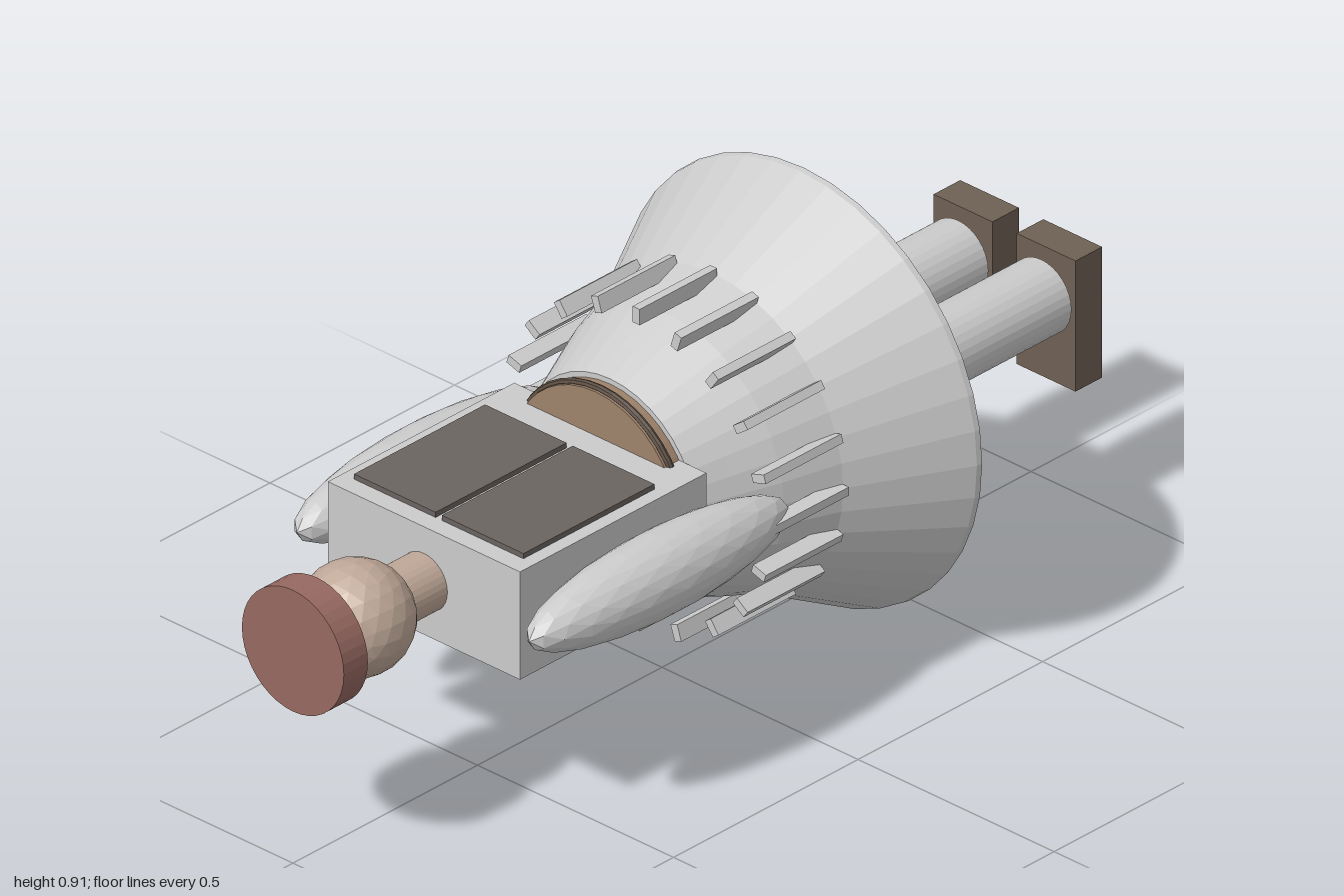
import * as THREE from 'three';

const CY = 0.457; // height of the long axis

const material = (color, extra = {}) =>
  Object.assign(new THREE.MeshStandardMaterial({ color, flatShading: true }), extra);

export function createModel() {
  const model = new THREE.Group();
  const grey = material(0xcccccc);
  const skin = material(0xbfa898);
  const red = material(0x976962);
  const brown = material(0x9e826b);
  const darkBrown = material(0x5a4c40);
  const shoeBrown = material(0x6e6054);
  const panelGrey = material(0x6a6460);

  const add = (name, geometry, mat, x, y, z, parent = model) => {
    const mesh = new THREE.Mesh(geometry, mat);
    mesh.name = name;
    mesh.position.set(x, y, z);
    parent.add(mesh);
    return mesh;
  };
  // Box from its extents along each axis
  const box = (name, mat, [x0, x1], [y0, y1], [z0, z1]) =>
    add(name, new THREE.BoxGeometry(x1 - x0, y1 - y0, z1 - z0), mat,
      (x0 + x1) / 2, (y0 + y1) / 2, (z0 + z1) / 2);
  // Cylinder lying along z
  const rod = (name, mat, r, z0, z1, x = 0, sides = 32) =>
    add(name, new THREE.CylinderGeometry(r, r, z1 - z0, sides).rotateX(Math.PI / 2), mat,
      x, CY, (z0 + z1) / 2);

  // Head, hat and neck
  rod('hat', red, 0.13, 0.935, 1.0, 0, 40);
  add('head', new THREE.IcosahedronGeometry(0.115, 3), skin, 0, CY, 0.83);
  rod('neck', skin, 0.06, 0.63, 0.74);

  // Torso with paired panels above and below
  box('torso', grey, [-0.245, 0.245], [0.343, 0.574], [0.14, 0.645]);
  for (const s of [-1, 1]) {
    const span = [s * 0.008, s * 0.216].sort((a, b) => a - b);
    box('backPanel', panelGrey, span, [0.572, 0.585], [0.25, 0.605]);
    box('chestPanel', panelGrey, span, [0.32, 0.345], [0.25, 0.605]);
    box('button', darkBrown, [s * 0.02 - 0.006, s * 0.02 + 0.006], [0.304, 0.321], [0.3, 0.312]);
  }

  // Arms
  for (const s of [-1, 1]) {
    const arm = new THREE.IcosahedronGeometry(1, 3).scale(0.081, 0.081, 0.348);
    add(s > 0 ? 'leftArm' : 'rightArm', arm, grey, s * 0.296, CY, 0.327);
  }

  // Waist disc and belt
  rod('waist', brown, 0.211, 0.12, 0.18, 0, 40);
  add('belt', new THREE.TorusGeometry(0.212, 0.008, 8, 40), darkBrown, 0, CY, 0.167);

  // Flared skirt, closed by a recessed base
  const profile = [
    [0, -0.375], [0.438, -0.375], [0.442, -0.384], [0.455, -0.384], [0.453, -0.372],
    [0.33, -0.14], [0.291, -0.02], [0.252, 0.07], [0.222, 0.14], [0, 0.14],
  ].map(([r, z]) => new THREE.Vector2(r, z));
  add('skirt', new THREE.LatheGeometry(profile, 40).rotateX(Math.PI / 2),
    material(0xcccccc, { side: THREE.DoubleSide }), 0, CY, 0);

  // Ring of fins around the skirt
  const fins = new THREE.Group();
  fins.name = 'skirtFins';
  fins.position.y = CY;
  model.add(fins);
  for (let i = 0; i < 20; i++) {
    const a = (i / 20) * Math.PI * 2;
    const fin = add('fin', new THREE.BoxGeometry(0.018, 0.034, 0.21), grey,
      -Math.sin(a) * 0.328, Math.cos(a) * 0.328, -0.035, fins);
    fin.rotation.z = a;
  }

  // Legs, boots and soles
  for (const s of [-1, 1]) {
    const x = s * 0.106;
    rod('leg', skin, 0.06, -0.6, -0.37, x);
    rod('boot', grey, 0.077, -0.915, -0.57, x);
    box('shoe', shoeBrown, [x - 0.075, x + 0.075], [0.275, 0.555], [-1.0, -0.928]);
  }

  return model;
}
